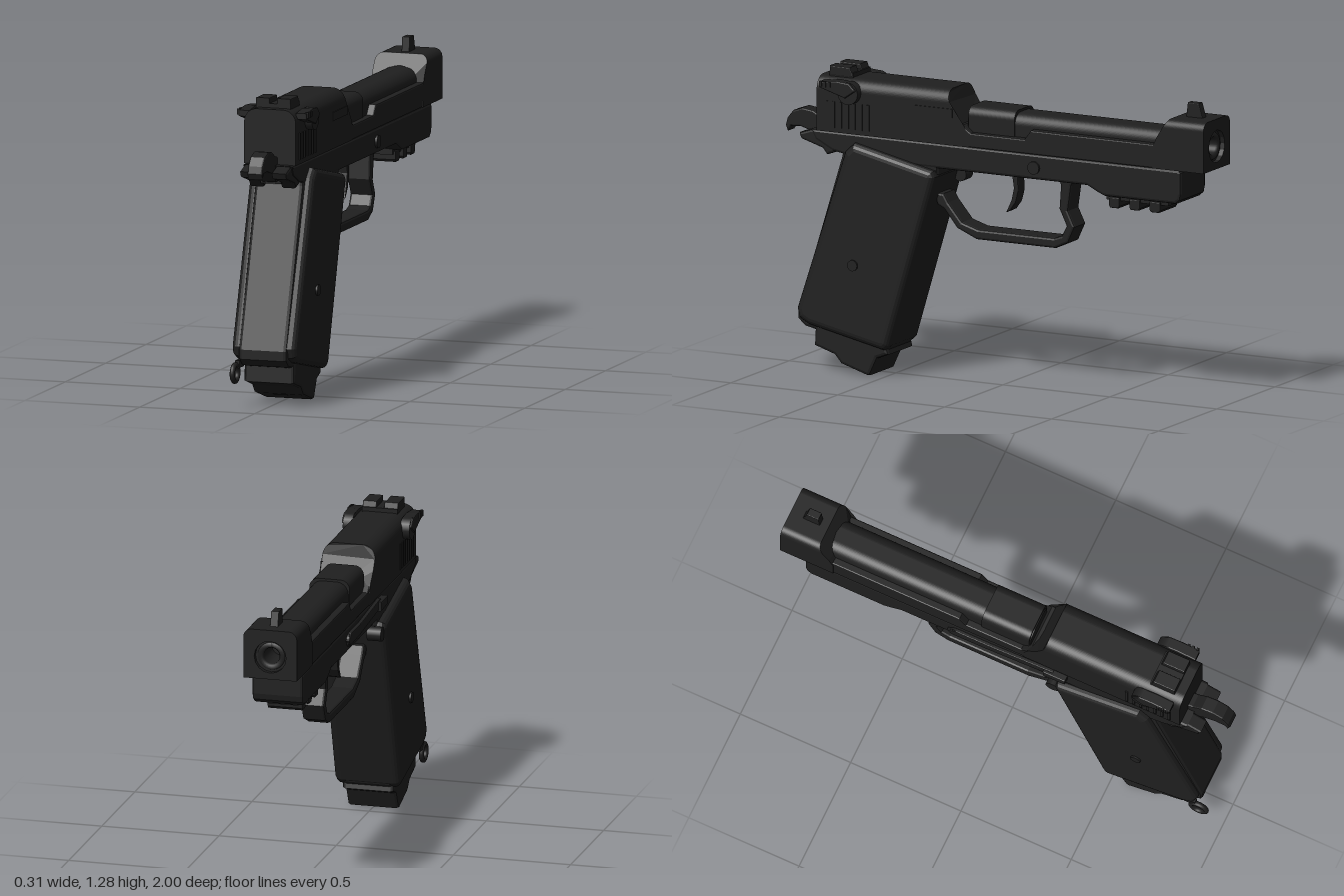
import * as THREE from 'three';

export function createModel() {
  const model = new THREE.Group();
  const black = new THREE.MeshStandardMaterial({ color: 0x1f1f1f });
  black.name = 'black steel';

  const add = (name, geometry, x = 0, y = 0, z = 0) => {
    const mesh = new THREE.Mesh(geometry, black);
    mesh.name = name;
    mesh.position.set(x, y, z);
    model.add(mesh);
    return mesh;
  };

  // Side outline given as [z, y] points, extruded across x with bevelled edges
  const side = (name, points, width, bevel = 0.008, x = 0, segments = 2) => {
    const shape = new THREE.Shape(points.map(([z, y]) => new THREE.Vector2(-z, y)));
    const geometry = new THREE.ExtrudeGeometry(shape, {
      depth: width - 2 * bevel, bevelEnabled: bevel > 0, bevelThickness: bevel,
      bevelSize: bevel, bevelOffset: -bevel, bevelSegments: segments,
    });
    geometry.translate(0, 0, bevel - width / 2);
    geometry.rotateY(Math.PI / 2);
    return add(name, geometry, x);
  };

  // Round-topped cross-section running along z; each end may lean as a function of y
  const section = (name, w, y0, y1, r, zMin, zMax, hole) => {
    const s = new THREE.Shape();
    s.moveTo(-w, y0);
    s.lineTo(w, y0);
    for (let i = 1; i <= 4; i++) s.lineTo(w, y0 + ((y1 - r - y0) * i) / 4);
    s.absarc(w - r, y1 - r, r, 0, Math.PI / 2, false);
    s.absarc(r - w, y1 - r, r, Math.PI / 2, Math.PI, false);
    for (let i = 3; i >= 1; i--) s.lineTo(-w, y0 + ((y1 - r - y0) * i) / 4);
    if (hole) {
      const path = new THREE.Path();
      path.absarc(0, hole.y, hole.r, 0, Math.PI * 2, true);
      s.holes.push(path);
    }
    const geometry = new THREE.ExtrudeGeometry(s, { depth: 1, bevelEnabled: false, curveSegments: 8 });
    const p = geometry.attributes.position;
    for (let i = 0; i < p.count; i++) {
      p.setZ(i, p.getZ(i) < 0.5 ? zMin(p.getY(i)) : zMax(p.getY(i)));
    }
    geometry.computeVertexNormals();
    return add(name, geometry);
  };

  const box = (name, w, h, d, x, y, z) => add(name, new THREE.BoxGeometry(w, h, d), x, y, z);
  const pin = (name, r, length, x, y, z) =>
    add(name, new THREE.CylinderGeometry(r, r, length, 20).rotateZ(Math.PI / 2), x, y, z);

  // Slide: low side rails, tall rear housing and muzzle block
  side('slideRails', [[0.81, 1.01], [0.81, 1.1], [0.13, 1.1], [0.09, 1.07], [-0.16, 1.07],
    [-0.19, 1.11], [-0.8, 1.11], [-0.8, 1.01]], 0.222, 0.006);
  section('slideRear', 0.112, 1.01, 1.24, 0.055,
    (y) => 0.2 - 0.1 * Math.pow(Math.max(0, 1.24 - y) / 0.16, 2) * (y > 1.08 ? 1 : 0) - (y > 1.08 ? 0 : 0.1),
    () => 0.81);
  section('muzzleBlock', 0.114, 1.01, 1.22, 0.035, () => -1,
    (y) => -0.83 + 0.07 * Math.min(1, (1.22 - y) / 0.11), { y: 1.105, r: 0.068 });

  // Barrel with its raised chamber, and the bored muzzle end
  section('barrel', 0.08, 1.03, 1.166, 0.05, () => -0.84, () => 0.12);
  section('chamber', 0.086, 1.03, 1.176, 0.04, () => -0.1, () => 0.115);
  const bore = [[0.034, -0.11], [0.034, 0.075], [0.04, 0.085], [0.056, 0.085], [0.06, 0.075], [0.06, -0.11]]
    .reverse().map(([r, y]) => new THREE.Vector2(r, y));
  const muzzle = add('barrelEnd', new THREE.LatheGeometry(bore, 28).rotateX(-Math.PI / 2), 0, 1.105, -0.9);
  muzzle.geometry.computeVertexNormals();
  add('boreBack', new THREE.CircleGeometry(0.068, 24).rotateY(Math.PI), 0, 1.105, -0.846);
  const collar = add('muzzleCollar', new THREE.RingGeometry(0.055, 0.069, 28).rotateY(Math.PI), 0, 1.105, -0.98);
  collar.scale.setScalar(1);

  // Sights
  side('frontSight', [[-0.865, 1.21], [-0.873, 1.28], [-0.925, 1.28], [-0.945, 1.21]], 0.034, 0.003);
  box('rearSightBase', 0.15, 0.025, 0.11, 0, 1.245, 0.715);
  for (const s of [-1, 1]) {
    side('rearSightPost', [[0.77, 1.24], [0.77, 1.28], [0.675, 1.28], [0.66, 1.24]], 0.06, 0.004, s * 0.046);
  }

  // Frame with rounded dust cover
  side('frame', [[0.84, 1.012], [0.82, 0.97], [0.74, 0.93], [0.6, 0.905], [-0.45, 0.905], [-0.5, 0.88],
    [-0.53, 0.868], [-0.865, 0.868], [-0.885, 0.885], [-0.89, 0.91], [-0.89, 1.0], [-0.88, 1.012]], 0.218, 0.012);
  // Tang split around the hammer
  for (const s of [-1, 1]) {
    side('tang', [[0.72, 1.0], [0.84, 1.01], [0.9, 0.99], [0.89, 0.965], [0.79, 0.935],
      [0.77, 0.91], [0.7, 0.935]], 0.066, 0.01, s * 0.069);
  }
  box('tangCore', 0.09, 0.07, 0.14, 0, 0.965, 0.73);
  side('hammer', [[0.78, 1.04], [0.83, 1.05], [0.87, 1.073], [0.92, 1.08], [0.965, 1.064], [0.992, 1.03],
    [1.0, 1.0], [0.99, 0.975], [0.975, 0.998], [0.93, 1.0], [0.88, 0.985], [0.82, 0.94], [0.78, 0.94]], 0.066, 0.007);

  // Accessory rail under the dust cover
  box('railBase', 0.13, 0.03, 0.29, 0, 0.862, -0.665);
  for (const z of [-0.56, -0.655, -0.75]) {
    side('railTooth', [[z + 0.025, 0.86], [z + 0.025, 0.825], [z + 0.018, 0.815],
      [z - 0.018, 0.815], [z - 0.025, 0.825], [z - 0.025, 0.86]], 0.15, 0.004);
  }

  // Trigger and guard
  side('trigger', [[-0.04, 0.92], [-0.055, 0.91], [-0.066, 0.84], [-0.055, 0.79], [-0.03, 0.735],
    [-0.05, 0.745], [-0.075, 0.78], [-0.088, 0.83], [-0.082, 0.92]], 0.06, 0.005);
  side('triggerGuard', [[0.3, 0.79], [0.28, 0.74], [0.25, 0.725], [0.19, 0.65], [0.1, 0.612], [-0.27, 0.612],
    [-0.33, 0.64], [-0.362, 0.71], [-0.33, 0.775], [-0.345, 0.88], [-0.36, 0.92], [-0.28, 0.92], [-0.295, 0.88],
    [-0.288, 0.78], [-0.322, 0.71], [-0.3, 0.668], [-0.265, 0.655], [0.09, 0.655], [0.165, 0.678],
    [0.23, 0.755], [0.25, 0.79]], 0.1, 0.01);

  // Grip core, bulging side panels and magazine foot
  side('gripCore', [[0.69, 0.96], [0.7, 0.91], [0.905, 0.25], [0.905, 0.21], [0.87, 0.18], [0.495, 0.105],
    [0.475, 0.13], [0.25, 0.88], [0.25, 0.98], [0.64, 0.98]], 0.212, 0.015);
  side('gripPanels', [[0.63, 0.977], [0.26, 0.895], [0.25, 0.87], [0.468, 0.14], [0.49, 0.12], [0.84, 0.195],
    [0.885, 0.22], [0.895, 0.26], [0.67, 0.94]], 0.282, 0.03, 0, 4);
  side('magazineFoot', [[0.82, 0.2], [0.825, 0.105], [0.73, 0.075], [0.7, 0.04], [0.58, 0.003], [0.565, 0.005],
    [0.53, 0.08], [0.478, 0.1], [0.49, 0.15]], 0.22, 0.014);
  pin('magazineButton', 0.03, 0.06, 0, 0.06, 0.67);
  for (const s of [-1, 1]) pin('gripScrew', 0.023, 0.02, s * 0.139, 0.467, 0.625);

  // Lanyard ring
  const ring = add('lanyardRing', new THREE.TorusGeometry(0.034, 0.011, 10, 28), -0.12, 0.15, 0.9);
  ring.rotation.y = Math.PI / 2;
  box('ringMount', 0.02, 0.03, 0.05, -0.115, 0.185, 0.86);

  // Safety levers with ridged thumb pads, and grooved rear sides
  for (const s of [-1, 1]) {
    pin('safetyHub', 0.047, 0.04, s * 0.122, 1.185, 0.65);
    side('safetyLever', [[0.78, 1.225], [0.78, 1.2], [0.66, 1.165], [0.61, 1.2], [0.64, 1.23], [0.7, 1.235]],
      0.05, 0.006, s * 0.125);
    for (let i = 0; i < 3; i++) box('leverRidge', 0.012, 0.024, 0.01, s * 0.149, 1.217, 0.73 + i * 0.02);
    for (let i = 0; i < 7; i++) box('slideRib', 0.008, 0.11, 0.012, s * 0.112, 1.085, 0.57 + i * 0.032);
  }

  // Extractor, frame pin and slide stop
  box('extractor', 0.01, 0.036, 0.18, 0.111, 1.145, 0.265);
  pin('framePin', 0.027, 0.236, 0, 0.955, -0.205);
  side('slideStop', [[0.24, 1.005], [0.24, 0.965], [-0.06, 0.94], [-0.22, 0.935], [-0.24, 0.96], [-0.2, 0.985],
    [-0.05, 0.985]], 0.02, 0.004, -0.114);
  side('slideStopPad', [[0.3, 1.0], [0.3, 0.965], [0.2, 0.96], [0.2, 1.0]], 0.036, 0.005, -0.12);
  pin('magazineRelease', 0.03, 0.06, -0.1, 0.85, 0.24);

  return model;
}
